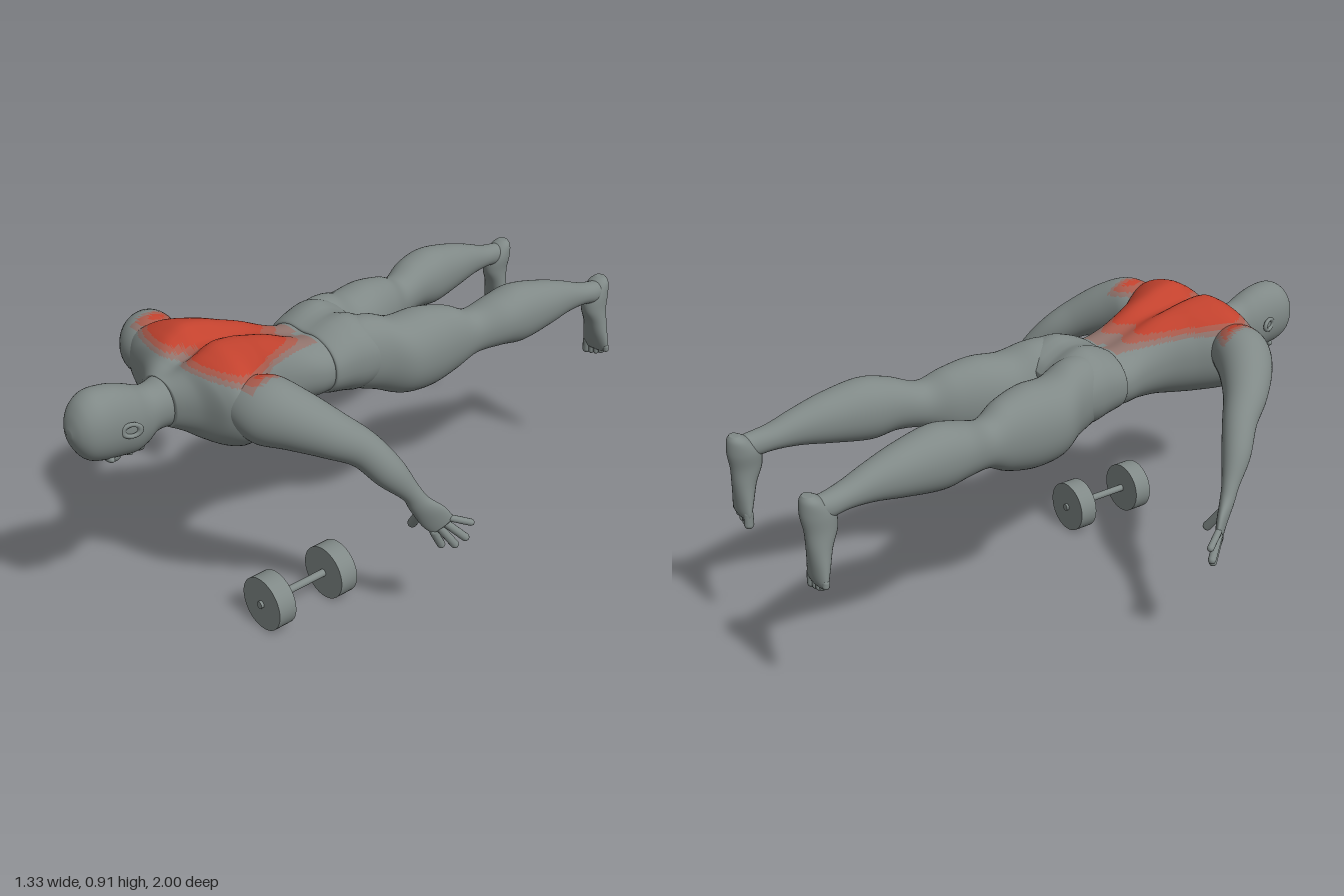
import * as THREE from 'three';

const mat = (name, color) => Object.assign(new THREE.MeshStandardMaterial({ color }), { name });
const V = (x, y, z) => new THREE.Vector3(x, y, z);

// Smoothly subdivide rows of numbers, column by column
function smooth(rows, steps) {
  const out = [], at = i => rows[Math.max(0, Math.min(rows.length - 1, i))];
  for (let i = 0; i < rows.length - 1; i++)
    for (let k = 0; k < steps; k++) {
      const t = k / steps;
      out.push(rows[i].map((b, c) => {
        const a = at(i - 1)[c], d = at(i + 1)[c], e = at(i + 2)[c];
        return b + 0.5 * t * (d - a + t * (2 * a - 5 * b + 4 * d - e + t * (3 * (b - d) + e - a)));
      }));
    }
  out.push(rows[rows.length - 1]);
  return out;
}

// How strongly the upper back is highlighted: 0 none, 1-2 fade, 3 full
function highlight(p) {
  const d = Math.min(p.z - 0.18, 0.665 - p.z, p.y - (0.782 + (p.z - 0.2) * 0.12), 0.3 - Math.abs(p.x));
  return d > 0.034 ? 3 : d > 0.02 ? 2 : d > 0.007 ? 1 : 0;
}

// Closed skin over elliptical sections { c, u, v, groove }
function loft(sections, power = 1, tinted = false, seg = 56) {
  const pos = [], buckets = [[], [], [], []], n = sections.length;
  const pw = s => Math.sign(s) * Math.abs(s) ** power;
  for (const { c, u, v, groove = 0 } of sections)
    for (let j = 0; j < seg; j++) {
      const a = j / seg * Math.PI * 2;
      const p = c.clone().addScaledVector(u, pw(Math.cos(a))).addScaledVector(v, pw(Math.sin(a)));
      const dip = groove * Math.exp(-(((p.x - c.x) / 0.045) ** 2));
      p.y -= dip * (Math.sin(a) > 0 ? 1 : -0.35) * Math.abs(Math.sin(a));
      pos.push(p.x, p.y, p.z);
    }
  for (const s of [sections[0], sections[n - 1]]) pos.push(s.c.x, s.c.y, s.c.z);
  const along = sections[n - 1].c.clone().sub(sections[0].c);
  const flip = sections[0].u.clone().cross(sections[0].v).dot(along) < 0;
  const pt = i => V(pos[i * 3], pos[i * 3 + 1], pos[i * 3 + 2]);
  const tri = (a, b, c) => {
    const k = tinted ? highlight(pt(a).add(pt(b)).add(pt(c)).divideScalar(3)) : 0;
    buckets[k].push(...(flip ? [a, c, b] : [a, b, c]));
  };
  for (let j = 0; j < seg; j++) {
    const k = (j + 1) % seg, end = (n - 1) * seg;
    for (let i = 0; i < n - 1; i++) {
      const a = i * seg + j, b = i * seg + k;
      tri(a, b, a + seg);
      tri(b, b + seg, a + seg);
    }
    tri(n * seg, k, j);
    tri(n * seg + 1, end + j, end + k);
  }
  const g = new THREE.BufferGeometry();
  g.setAttribute('position', new THREE.Float32BufferAttribute(pos, 3));
  g.setIndex(buckets.flat());
  let start = 0;
  buckets.forEach((b, i) => { if (b.length) g.addGroup(start, b.length, i); start += b.length; });
  g.computeVertexNormals();
  return g;
}

// Rows along z: [z, centre x, half width, top, bottom, groove]
const alongZ = (rows, steps = 6, s = 1) => smooth(rows, steps).map(([z, x, w, t, b, groove = 0]) =>
  ({ c: V(x * s, (t + b) / 2, z), u: V(w, 0, 0), v: V(0, (t - b) / 2, 0), groove }));

// Rows along a path: [x, y, z, radius across, radius through]
function alongPath(rows, ref, s) {
  const pts = smooth(rows, 7), side = V(ref.x * s, ref.y, ref.z);
  const at = i => { const r = pts[Math.max(0, Math.min(pts.length - 1, i))]; return V(r[0] * s, r[1], r[2]); };
  return pts.map((r, i) => {
    const t = at(i + 1).sub(at(i - 1)).normalize();
    const u = side.clone().addScaledVector(t, -side.dot(t)).normalize();
    return { c: at(i), v: t.clone().cross(u).multiplyScalar(r[4]), u: u.multiplyScalar(r[3]) };
  });
}

export function createModel() {
  const root = new THREE.Group();
  root.name = 'proneFigureWithDumbbell';
  const grey = mat('grey', 0x808987), red = mat('highlightRed', 0xc2422e);
  const tints = [grey, mat('fadeLight', 0x91746d), mat('fadeStrong', 0xab5b4c), red];
  const add = (name, geo, material = grey) => {
    const m = new THREE.Mesh(geo, material);
    m.name = name;
    root.add(m);
    return m;
  };
  const ball = (name, x, y, z, rx, ry, rz) => {
    const m = add(name, new THREE.SphereGeometry(1, 24, 16));
    m.position.set(x, y, z);
    m.scale.set(rx, ry, rz);
    return m;
  };
  const digit = (name, a, b, r) => {
    const d = b.clone().sub(a), m = add(name, new THREE.CapsuleGeometry(r, d.length() - r, 6, 12));
    m.position.copy(a).add(b).multiplyScalar(0.5);
    m.quaternion.setFromUnitVectors(V(0, 1, 0), d.normalize());
  };

  // Torso with highlighted back
  add('torso', loft(alongZ([
    [0.14, 0, 0.157, 0.8, 0.61, 0.01], [0.2, 0, 0.152, 0.803, 0.6, 0.015],
    [0.27, 0, 0.143, 0.83, 0.6, 0.02], [0.35, 0, 0.155, 0.868, 0.595, 0.03],
    [0.42, 0, 0.19, 0.89, 0.587, 0.04], [0.48, 0, 0.235, 0.906, 0.585, 0.05],
    [0.55, 0, 0.285, 0.912, 0.59, 0.055], [0.6, 0, 0.295, 0.89, 0.61, 0.05],
    [0.635, 0, 0.24, 0.865, 0.63, 0.03], [0.66, 0, 0.15, 0.84, 0.645, 0.015],
    [0.7, 0, 0.08, 0.812, 0.665, 0]], 9), 0.9, true, 112), tints);

  // Hips
  add('hips', loft(alongZ([
    [-0.05, 0, 0.15, 0.77, 0.62, 0.02], [-0.02, 0, 0.18, 0.81, 0.59, 0.03],
    [0.05, 0, 0.185, 0.842, 0.575, 0.025], [0.11, 0, 0.176, 0.832, 0.588, 0.015],
    [0.165, 0, 0.165, 0.807, 0.6, 0.01], [0.172, 0, 0.155, 0.795, 0.61, 0.01]]), 0.88));

  // Head and neck, face down
  add('headAndNeck', loft(alongZ([
    [0.62, 0, 0.1, 0.83, 0.66], [0.7, 0, 0.073, 0.812, 0.665], [0.74, 0, 0.064, 0.805, 0.66],
    [0.77, 0, 0.065, 0.812, 0.635], [0.81, 0, 0.073, 0.83, 0.622], [0.86, 0, 0.078, 0.846, 0.628],
    [0.92, 0, 0.08, 0.851, 0.638], [0.96, 0, 0.069, 0.832, 0.655], [0.985, 0, 0.046, 0.797, 0.69],
    [0.998, 0, 0.014, 0.755, 0.73]]), 0.95));
  ball('nose', 0, 0.627, 0.862, 0.013, 0.021, 0.024);
  ball('lips', 0, 0.622, 0.818, 0.022, 0.009, 0.012);
  ball('chin', 0, 0.634, 0.783, 0.026, 0.02, 0.018);

  for (const s of [1, -1]) {
    const side = s > 0 ? 'left' : 'right';
    ball(side + 'Brow', s * 0.03, 0.645, 0.898, 0.026, 0.012, 0.012);
    const ear = add(side + 'Ear', new THREE.TorusGeometry(0.02, 0.007, 10, 20));
    ear.position.set(s * 0.083, 0.735, 0.85);
    ear.rotation.y = Math.PI / 2 - s * 0.35;
    ear.scale.set(1.25, 0.9, 1);

    // Arm down to the palm
    const across = V(0.47, 0.68, -0.56);
    add(side + 'Arm', loft(alongPath([
      [0.21, 0.765, 0.555, 0.08, 0.08], [0.28, 0.765, 0.535, 0.1, 0.09],
      [0.35, 0.745, 0.49, 0.088, 0.083], [0.42, 0.705, 0.425, 0.07, 0.068],
      [0.475, 0.655, 0.355, 0.055, 0.053], [0.525, 0.58, 0.3, 0.049, 0.044],
      [0.56, 0.51, 0.25, 0.031, 0.027], [0.575, 0.465, 0.225, 0.034, 0.022],
      [0.595, 0.42, 0.19, 0.045, 0.016], [0.611, 0.388, 0.167, 0.041, 0.012]], across, s), 1, true), tints);

    // Fingers spread from the palm edge
    [[0.6, 0.307, 0.155], [0.63, 0.31, 0.128], [0.65, 0.335, 0.105], [0.656, 0.385, 0.09]].forEach((tip, i) => {
      const base = V(0.609, 0.391, 0.17).addScaledVector(across, -0.032 + i * 0.0213);
      base.x *= s;
      digit(side + 'Finger', base, V(tip[0] * s, tip[1], tip[2]), 0.0125 - (i === 3 ? 0.002 : 0));
    });
    digit(side + 'Thumb', V(s * 0.57, 0.435, 0.215), V(s * 0.518, 0.362, 0.2), 0.0145);

    // Leg
    add(side + 'Leg', loft(alongZ([
      [-0.965, 0.228, 0.03, 0.705, 0.64], [-0.92, 0.229, 0.036, 0.71, 0.636],
      [-0.86, 0.223, 0.042, 0.722, 0.643], [-0.78, 0.218, 0.053, 0.75, 0.638],
      [-0.68, 0.212, 0.071, 0.778, 0.62], [-0.56, 0.203, 0.085, 0.797, 0.602],
      [-0.47, 0.196, 0.08, 0.78, 0.612], [-0.38, 0.172, 0.069, 0.752, 0.602],
      [-0.3, 0.15, 0.085, 0.782, 0.56], [-0.2, 0.135, 0.105, 0.8, 0.535],
      [-0.1, 0.121, 0.109, 0.795, 0.54], [-0.02, 0.1, 0.095, 0.82, 0.57],
      [0.05, 0.09, 0.085, 0.82, 0.595], [0.1, 0.085, 0.06, 0.78, 0.63]], 6, s), 0.95));

    // Foot hanging toes down: [y, centre x, centre z, half x, half z]
    add(side + 'Foot', loft(smooth([
      [0.718, 0.226, -0.972, 0.018, 0.014], [0.7, 0.226, -0.963, 0.035, 0.032],
      [0.66, 0.227, -0.948, 0.041, 0.05], [0.61, 0.231, -0.943, 0.039, 0.048],
      [0.56, 0.234, -0.953, 0.042, 0.036], [0.51, 0.236, -0.96, 0.049, 0.027],
      [0.47, 0.237, -0.966, 0.053, 0.019], [0.452, 0.237, -0.967, 0.049, 0.012]], 6)
      .map(([y, x, z, a, b]) => ({ c: V(x * s, y, z), u: V(a, 0, 0), v: V(0, 0, b) }))));
    for (let i = 0; i < 5; i++) {
      const x = s * (0.2 + i * 0.0205);
      digit(side + 'Toe', V(x, 0.475, -0.965), V(x, 0.427 + i * i * 0.0018, -0.967), i ? 0.0105 : 0.015);
    }
  }

  // Dumbbell on the ground
  const rod = (name, r, z0, z1, seg) => {
    const m = add(name, new THREE.CylinderGeometry(r, r, z1 - z0, seg));
    m.rotation.x = Math.PI / 2;
    m.position.set(0.237, 0.087, (z0 + z1) / 2);
  };
  rod('dumbbellBar', 0.012, 0.228, 0.554, 20);
  rod('rearWeight', 0.087, 0.237, 0.3, 48);
  rod('frontWeight', 0.087, 0.482, 0.545, 48);
  return root;
}
